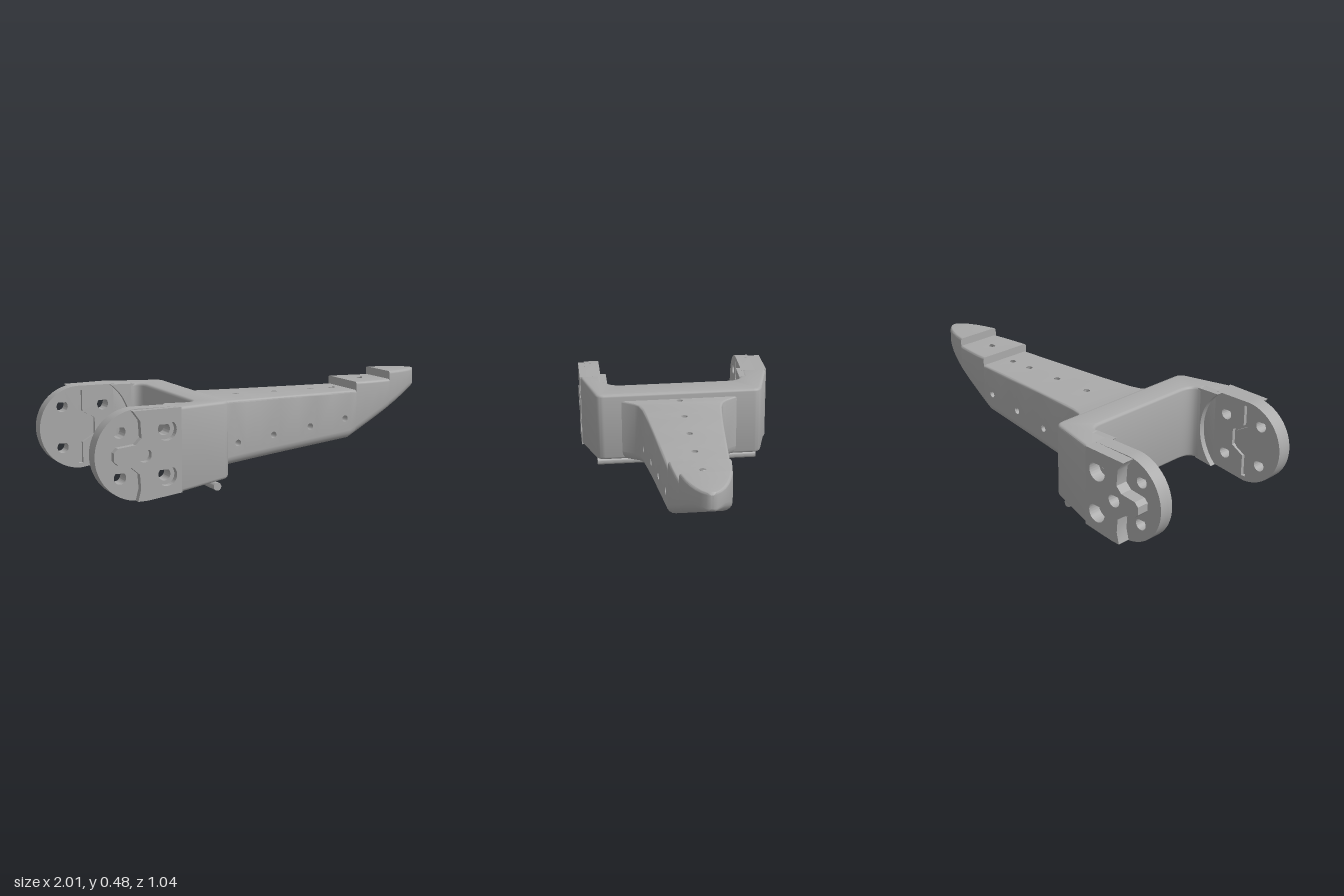
import * as THREE from 'three';
import { toCreasedNormals } from 'three/addons/utils/BufferGeometryUtils.js';

const TOP = 0.433, CX = -0.785, CY = 0.217;
const under = (x) => (x < 0.525 ? 0.087 + 0.102 * x : 0.1405 + 0.525 * (x - 0.525));

export function createModel() {
  const grey = new THREE.MeshStandardMaterial({ color: 0xaaaaaa, side: THREE.DoubleSide });
  grey.name = 'plain grey';
  const model = new THREE.Group();
  model.name = 'forkedBracket';
  const body = new THREE.Group();
  body.name = 'body';
  body.rotation.y = 0.011;
  body.position.z = -0.011;
  model.add(body);

  const add = (geo, name, crease = 0.6) => {
    const flat = geo.index ? geo.toNonIndexed() : geo;
    const mesh = new THREE.Mesh(toCreasedNormals(flat, crease), grey);
    mesh.name = name;
    body.add(mesh);
    return mesh;
  };
  const shapeOf = (pts) => new THREE.Shape(pts.map((p) => new THREE.Vector2(...p)));

  // Teardrop bolt hole
  const tear = (x, y, r) => {
    const p = new THREE.Path();
    p.moveTo(x, y + r * 1.41);
    p.absarc(x, y, r, Math.PI * 0.75, Math.PI * 2.25, false);
    p.closePath();
    return p;
  };
  // Plate cut from a side outline, between two distances from the centre plane
  const layer = (shape, side, z0, z1, name) => {
    const geo = new THREE.ExtrudeGeometry(shape, { depth: z1 - z0, bevelEnabled: false, curveSegments: 20 });
    geo.translate(0, 0, side > 0 ? z0 : -z1);
    add(geo, name);
  };

  // Fork ends: grooved inner face, round tongue, toothed outer cheek
  const XE = -0.585;
  const lobe = () => {
    const s = new THREE.Shape();
    s.moveTo(XE, TOP);
    s.lineTo(CX, TOP);
    s.absarc(CX, CY, 0.2165, Math.PI / 2, Math.PI * 1.5, false);
    s.lineTo(XE, under(XE));
    s.closePath();
    return s;
  };
  const bolts = [[-0.88, 0.33], [-0.66, 0.33], [-0.88, 0.115], [-0.66, 0.115]];
  const sides = [
    { s: 1, n: 'front', pad: 0.375, inner: 0.405, tongue: 0.485 },
    { s: -1, n: 'back', pad: 0.355, inner: 0.38, tongue: 0.455 },
  ];
  for (const { s, n, pad, inner, tongue } of sides) {
    const face = lobe(), mid = lobe();
    for (const [x, y] of bolts) {
      face.holes.push(tear(x, y, 0.03));
      mid.holes.push(tear(x, y, 0.03));
    }
    const bend = [[-0.797, 0.41], [-0.797, 0.3], [-0.73, 0.26], [-0.73, 0.175], [-0.797, 0.135], [-0.797, 0.025]];
    const band = [...bend, ...bend.map(([x, y]) => [x + 0.025, y]).reverse()];
    face.holes.push(new THREE.Path(band.map((p) => new THREE.Vector2(...p))));
    layer(face, s, inner, inner + 0.02, n + 'InnerFace');
    layer(mid, s, inner + 0.02, tongue, n + 'Tongue');

    const cheek = shapeOf([[XE, TOP], [-0.825, 0.428], [-0.79, 0.38], [-0.785, 0.3], [-0.815, 0.27],
      [-0.9, 0.26], [-0.92, 0.24], [-0.92, 0.2], [-0.9, 0.18], [-0.835, 0.165], [-0.795, 0.13],
      [-0.79, 0.06], [-0.805, 0.003], [-0.76, 0.004], [XE, under(XE)]]);
    cheek.holes.push(tear(-0.66, 0.33, 0.05), tear(-0.66, 0.115, 0.05), tear(-0.77, 0.22, 0.034));
    layer(cheek, s, tongue, 0.52, n + 'Cheek');

    // Raised pad with a round clearance cut
    const relief = new THREE.Shape();
    relief.absarc(CX, CY, 0.27, -0.8, 0.925, false);
    relief.lineTo(-0.49, TOP - 0.003);
    relief.lineTo(-0.49, under(-0.49));
    relief.closePath();
    layer(relief, s, pad, inner + 0.01, n + 'ReliefPad');
  }

  // Yoke: plan outline raised upward, its underside following the slope
  const [f, b] = sides;
  const u = new THREE.Shape();
  u.moveTo(-0.6, 0.52);
  u.lineTo(-0.34, 0.453);
  u.quadraticCurveTo(-0.303, 0.443, -0.303, 0.405);
  u.lineTo(-0.303, -0.405);
  u.quadraticCurveTo(-0.303, -0.443, -0.34, -0.453);
  u.lineTo(-0.6, -0.52);
  u.lineTo(-0.6, -f.inner);
  u.lineTo(-0.51, -f.inner);
  u.lineTo(-0.51, -f.pad);
  u.quadraticCurveTo(-0.452, -f.pad, -0.452, -0.29);
  u.lineTo(-0.452, 0.28);
  u.quadraticCurveTo(-0.452, b.pad, -0.51, b.pad);
  u.lineTo(-0.51, b.inner);
  u.lineTo(-0.6, b.inner);
  u.closePath();
  const B = 0.016;
  const yoke = new THREE.ExtrudeGeometry(u, { depth: TOP - 2 * B, bevelThickness: B, bevelSize: B, bevelOffset: -B, bevelSegments: 3, curveSegments: 8 });
  yoke.rotateX(-Math.PI / 2);
  yoke.translate(0, B, 0);
  const yp = yoke.attributes.position;
  for (let i = 0; i < yp.count; i++) {
    const low = under(yp.getX(i));
    yp.setY(i, low + (yp.getY(i) / TOP) * (TOP - low));
  }
  add(yoke, 'yoke');

  // Blade: [x, half width] stations in three runs, each with its own top height
  const R = 0.017;
  const sideHoles = [[-0.15, 0.178], [0.06, 0.2], [0.28, 0.225], [0.495, 0.25]];
  const topHoles = [-0.28, -0.065, 0.155, 0.37, 0.5, 0.67];
  const bottomHoles = [-0.28, -0.065, 0.155, 0.37, 0.593, 0.762];
  const runs = [
    { name: 'bladeBody', top: 0.396, st: [[-0.33, 0.36], [-0.302, 0.31], [-0.26, 0.248], [-0.235, 0.228], [-0.18, 0.213], [-0.1, 0.204],
      [-0.02, 0.196], [0.1, 0.186], [0.21, 0.178], [0.32, 0.17], [0.42, 0.163], [0.525, 0.156], [0.565, 0.153]] },
    { name: 'bladeStep', top: 0.439, st: [[0.565, 0.153], [0.625, 0.147], [0.72, 0.136], [0.785, 0.125]] },
    { name: 'bladeTip', top: 0.481, st: [[0.785, 0.125], [0.85, 0.108], [0.9, 0.09], [0.94, 0.07], [0.97, 0.048], [0.99, 0.026], [1, 0.006]] },
  ];
  for (const { name, top, st } of runs) {
    const tri = [];
    const quad = (p, q, r, s, flip) => {
      for (const v of flip ? [p, s, r, p, r, q] : [p, q, r, p, r, s]) tri.push(...v);
    };
    // Panel with optional round holes, bent into place by a mapping
    const panel = (pts, holes, map) => {
      const sh = shapeOf(pts);
      for (const [x, y] of holes) {
        const h = new THREE.Path();
        h.absarc(x, y, R, 0, Math.PI * 2, true);
        sh.holes.push(h);
      }
      const g = new THREE.ShapeGeometry(sh, 10).toNonIndexed().attributes.position;
      for (let i = 0; i < g.count; i++) tri.push(...map(g.getX(i), g.getY(i)));
    };
    const section = ([x, w]) => {
      const low = x > 0.99 ? 0.4 : under(x), high = x > 0.995 ? top - 0.012 : top;
      const rt = Math.min(0.014, w * 0.5), rb = Math.min(0.045, w * 0.6, (high - low) * 0.4);
      const arcs = [[], []];
      for (let k = 0; k <= 4; k++) {
        const c = Math.cos((k * Math.PI) / 8), s = Math.sin((k * Math.PI) / 8);
        arcs[0].push([x, high - rt + rt * c, w - rt + rt * s]);
        arcs[1].push([x, low + rb - rb * s, w - rb + rb * c]);
      }
      return { x, w, low, high, rt, rb, arcs };
    };
    const secs = st.map(section);
    const mirror = (p, s) => [p[0], p[1], p[2] * s];
    for (let i = 0; i < secs.length - 1; i++) {
      const a = secs[i], c = secs[i + 1];
      const mix = (x, key) => a[key] + ((c[key] - a[key]) * (x - a.x)) / (c.x - a.x);
      const within = (x) => x > a.x + R && x < c.x - R;
      const flat = (r) => [[a.x, r - a.w], [c.x, r - c.w], [c.x, c.w - r], [a.x, a.w - r]];
      panel([[a.x, a.rt - a.w], [c.x, c.rt - c.w], [c.x, c.w - c.rt], [a.x, a.w - a.rt]],
        topHoles.filter(within).map((x) => [x, 0]), (x, v) => [x, mix(x, 'high'), -v]);
      panel([[a.x, a.rb - a.w], [c.x, c.rb - c.w], [c.x, c.w - c.rb], [a.x, a.w - a.rb]],
        bottomHoles.filter(within).map((x) => [x, 0]), (x, v) => [x, mix(x, 'low'), v]);
      for (const s of [1, -1]) {
        const pts = [[a.x, a.low + a.rb], [c.x, c.low + c.rb], [c.x, c.high - c.rt], [a.x, a.high - a.rt]];
        panel(pts.map(([x, y]) => [x * s, y]), sideHoles.filter((h) => within(h[0])).map(([x, y]) => [x * s, y]),
          (v, y) => [v * s, y, s * mix(v * s, 'w')]);
        for (const n of [0, 1]) for (let k = 0; k < 4; k++) {
          quad(...[a.arcs[n][k], a.arcs[n][k + 1], c.arcs[n][k + 1], c.arcs[n][k]].map((p) => mirror(p, s)), s < 0);
        }
      }
    }
    // Closed ends of the run
    for (const [e, dir] of [[secs[0], -1], [secs.at(-1), 1]]) {
      const rim = [[e.x, e.high, 0], ...e.arcs[0], ...e.arcs[1], [e.x, e.low, 0]];
      const mid = [e.x, (e.low + e.high) / 2, 0];
      for (const s of [1, -1]) for (let k = 0; k < rim.length - 1; k++) {
        const p = mirror(rim[k], s), q = mirror(rim[k + 1], s);
        tri.push(...mid, ...(s * dir > 0 ? [...p, ...q] : [...q, ...p]));
      }
    }
    const geo = new THREE.BufferGeometry();
    geo.setAttribute('position', new THREE.Float32BufferAttribute(tri, 3));
    add(geo, name, 0.5);
  }

  // Walls of the drilled holes
  const bore = (p, q, name) => add(new THREE.TubeGeometry(new THREE.LineCurve3(new THREE.Vector3(...p), new THREE.Vector3(...q)), 1, R, 12), name);
  const stations = runs.flatMap((r) => r.st);
  const widthAt = (x) => {
    const i = stations.findIndex((s) => s[0] > x), [a, c] = [stations[i - 1], stations[i]];
    return a[1] + ((c[1] - a[1]) * (x - a[0])) / (c[0] - a[0]);
  };
  for (const [x, y] of sideHoles) bore([x, y, -widthAt(x) + 0.002], [x, y, widthAt(x) - 0.002], 'crossBore');
  topHoles.forEach((x, i) => {
    const xb = bottomHoles[i];
    bore([x, (x > 0.565 ? 0.439 : 0.396) - 0.004, 0], [xb, under(xb) + 0.008, 0], 'uprightBore');
  });

  // Loose pin beneath the yoke
  const pin = add(new THREE.CylinderGeometry(0.02, 0.02, 0.876, 20), 'pin');
  pin.rotation.x = Math.PI / 2;
  pin.position.set(-0.37, 0.02, 0.007);
  return model;
}
